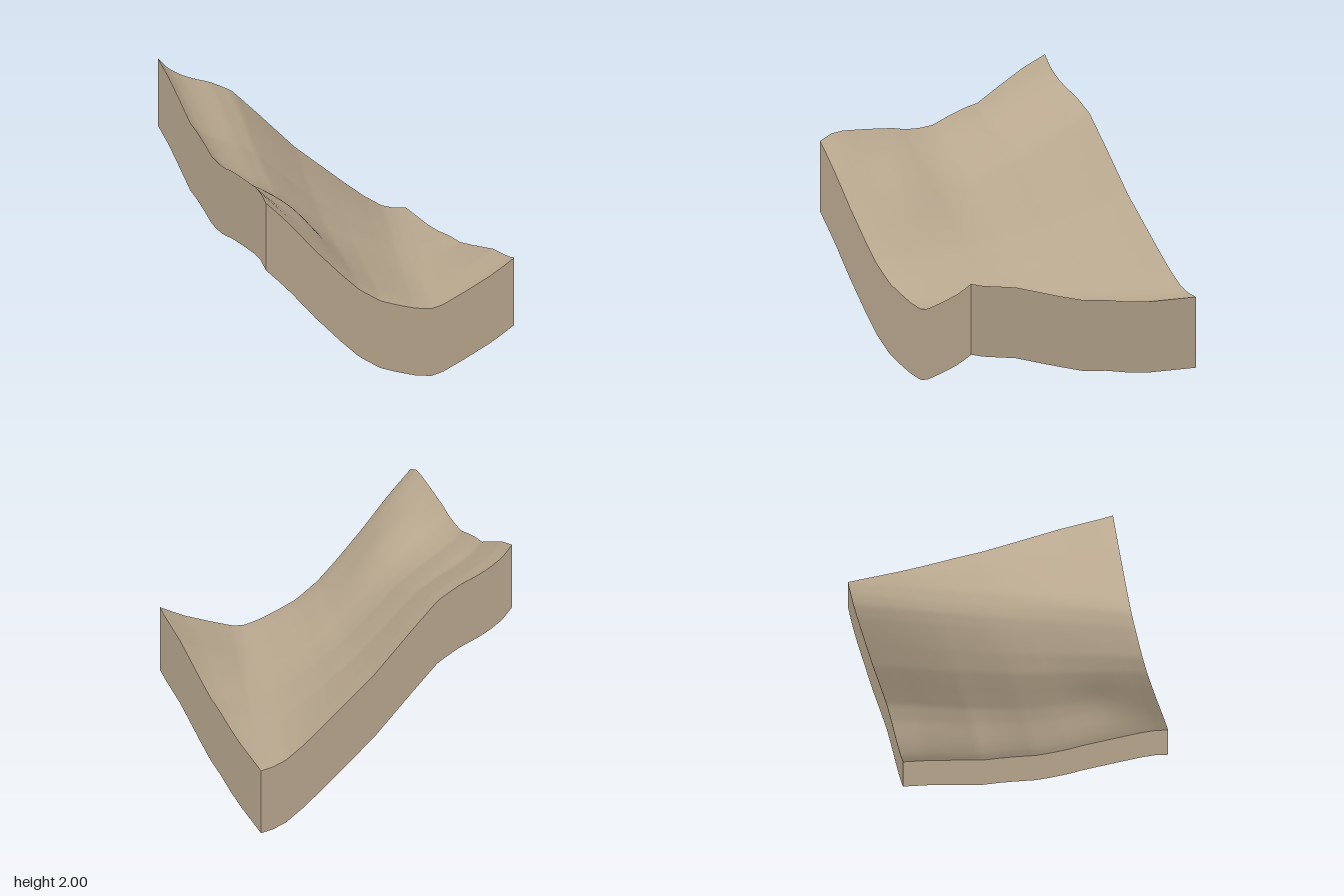
import * as THREE from 'three';

const HALF = 0.985; // half the tile width
const DEPTH = 0.525; // skirt height
const N = 60; // grid divisions
const VALLEY_FRONT = 0.33, VALLEY_BACK = 0.97; // valley floor position on the front and back edges

// Edge height profiles as [position, height] pairs
const front = [[-1, 1.575], [-0.9, 1.475], [-0.8, 1.37], [-0.6, 1.14], [-0.4, 0.93], [-0.25, 0.785], [-0.08, 0.67],
  [0.05, 0.62], [0.2, 0.57], [0.33, 0.545], [0.42, 0.56], [0.6, 0.635], [0.8, 0.725], [0.9, 0.78], [1, 0.84]];
const back = [[-1, 2], [-0.92, 1.91], [-0.82, 1.845], [-0.72, 1.8], [-0.58, 1.75], [-0.41, 1.66], [-0.2, 1.45],
  [0.1, 1.14], [0.3, 0.97], [0.5, 0.8], [0.66, 0.67], [0.8, 0.575], [0.9, 0.54], [1, 0.525]];
const left = [[-1, 2], [-0.8, 1.92], [-0.6, 1.815], [-0.4, 1.705], [-0.28, 1.68], [-0.15, 1.64], [0, 1.585],
  [0.12, 1.575], [0.25, 1.58], [0.35, 1.6], [0.6, 1.62], [0.8, 1.63], [0.9, 1.62], [1, 1.575]];
const right = [[-1, 0.525], [-0.6, 0.535], [-0.4, 0.555], [-0.2, 0.59], [0, 0.61], [0.2, 0.66], [0.4, 0.715],
  [0.6, 0.77], [0.8, 0.8], [0.9, 0.815], [1, 0.84]];

const mix = THREE.MathUtils.lerp;

function sample(profile, t) {
  let i = 1;
  while (i < profile.length - 1 && profile[i][0] < t) i++;
  const [a, b] = [profile[i - 1], profile[i]];
  return THREE.MathUtils.mapLinear(t, a[0], b[0], a[1], b[1]);
}

// Height at (s, t) in -1..1: the slope and the far bank are lofted on either side of a diagonal valley
function height(s, t) {
  const v = (t + 1) / 2;
  const valley = mix(VALLEY_BACK, VALLEY_FRONT, v);
  const loft = (b, f) => mix(sample(back, b), sample(front, f), v);
  if (s > valley) {
    const q = (s - valley) / (1 - valley);
    const edgeFix = sample(right, t) - loft(1, 1);
    return loft(mix(VALLEY_BACK, 1, q), mix(VALLEY_FRONT, 1, q)) + edgeFix * q;
  }
  const p = (s + 1) / (valley + 1);
  const edgeFix = sample(left, t) - loft(-1, -1);
  const spur = 0.13 * Math.exp(-((s + 0.62) ** 2 + (t - 0.6) ** 2) / 0.07) * (1 - s * s) * (1 - t * t);
  return loft(mix(-1, VALLEY_BACK, p), mix(-1, VALLEY_FRONT, p)) + edgeFix * (1 - p) + spur;
}

// Grid surface from a rule giving a point for (u, v) in 0..1
function surface(cols, rows, point) {
  const positions = [], index = [];
  for (let j = 0; j <= rows; j++)
    for (let i = 0; i <= cols; i++) positions.push(...point(i / cols, j / rows));
  for (let j = 0; j < rows; j++)
    for (let i = 0; i < cols; i++) {
      const a = j * (cols + 1) + i, b = a + 1, c = a + cols + 1, d = c + 1;
      index.push(a, c, b, b, c, d);
    }
  const geometry = new THREE.BufferGeometry();
  geometry.setAttribute('position', new THREE.Float32BufferAttribute(positions, 3));
  geometry.setIndex(index);
  geometry.computeVertexNormals();
  return geometry;
}

export function createModel() {
  const model = new THREE.Group();
  model.name = 'terrainTile';
  const earth = new THREE.MeshStandardMaterial({ color: 0xb8a78e, side: THREE.DoubleSide });
  earth.name = 'earth';
  const add = (name, geometry) => {
    const mesh = new THREE.Mesh(geometry, earth);
    mesh.name = name;
    model.add(mesh);
  };

  // Hillside with a valley running diagonally
  add('ground', surface(N, N, (u, v) => {
    const s = u * 2 - 1, t = v * 2 - 1;
    return [s * HALF, height(s, t), t * HALF];
  }));

  // Vertical skirts following each edge; the underside stays open
  const edges = {
    frontSkirt: (k) => [k, 1],
    backSkirt: (k) => [-k, -1],
    rightSkirt: (k) => [-1, k],
    leftSkirt: (k) => [1, -k],
  };
  for (const [name, edge] of Object.entries(edges)) {
    add(name, surface(N, 1, (u, v) => {
      const [s, t] = edge(u * 2 - 1);
      return [s * HALF, height(s, t) - v * DEPTH, t * HALF];
    }));
  }
  return model;
}
